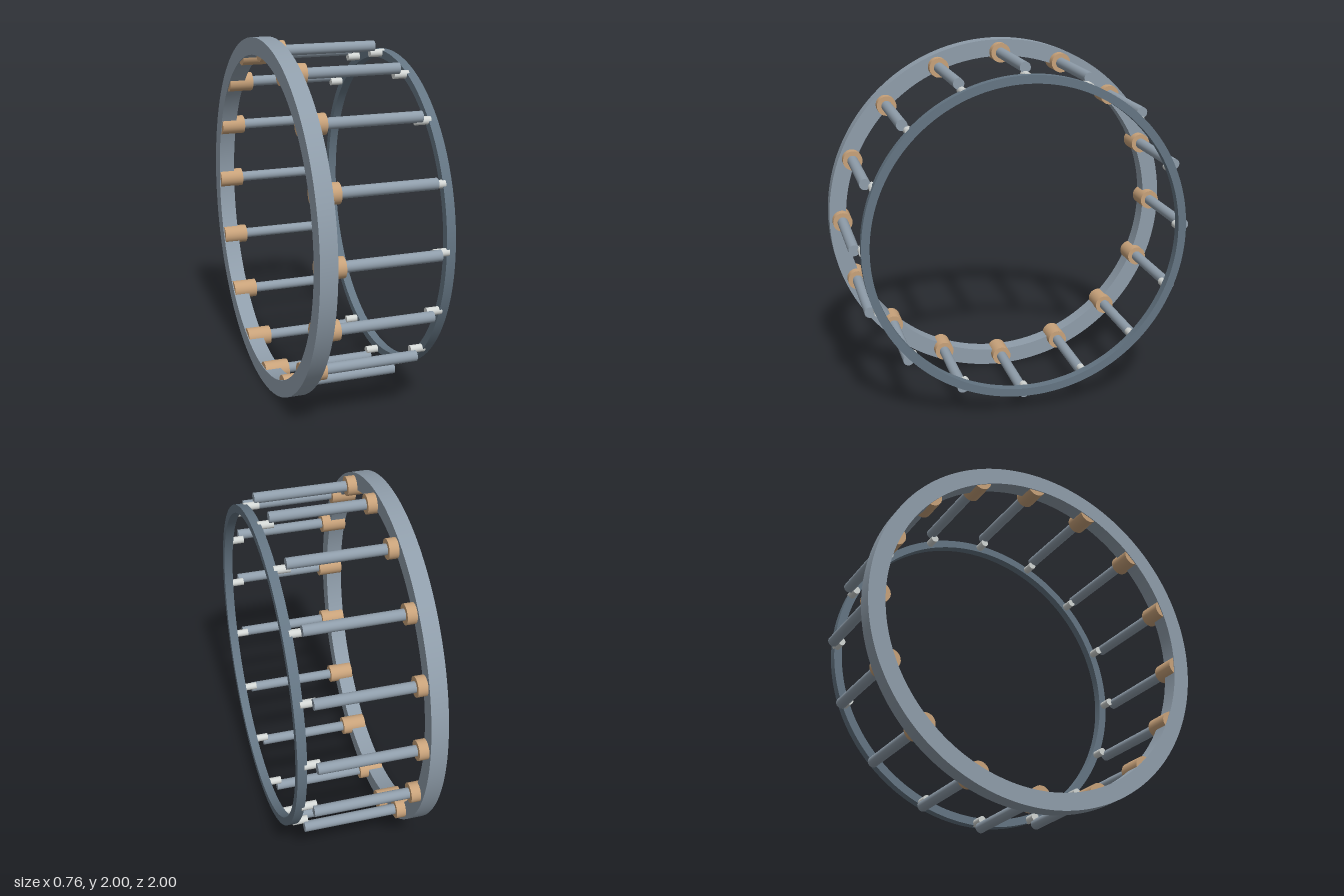
import * as THREE from 'three';
import { toCreasedNormals } from 'three/addons/utils/BufferGeometryUtils.js';

const mat = (name, color) => {
  const m = new THREE.MeshStandardMaterial({ color });
  m.name = name;
  return m;
};

// Flat ring around the x axis, from x0 to x1
function ringGeometry(outer, inner, x0, x1) {
  const shape = new THREE.Shape().absarc(0, 0, outer, 0, Math.PI * 2);
  shape.holes.push(new THREE.Path().absarc(0, 0, inner, 0, Math.PI * 2, true));
  const geo = new THREE.ExtrudeGeometry(shape, { depth: x1 - x0, bevelEnabled: false, curveSegments: 128 });
  geo.rotateY(Math.PI / 2).translate(x0, 0, 0);
  return toCreasedNormals(geo, 0.6);
}

// Round bar along x, from x0 to x1, at a distance from the axis
function barGeometry(radius, x0, x1, distance) {
  return new THREE.CylinderGeometry(radius, radius, x1 - x0, 28)
    .rotateZ(-Math.PI / 2)
    .translate((x0 + x1) / 2, distance, 0);
}

export function createModel() {
  const model = new THREE.Group();
  model.name = 'ringCage';
  const steel = mat('steel', 0x8f9daa);
  const darkSteel = mat('darkSteel', 0x647583);
  const bronze = mat('bronze', 0xc8a27a);
  const pale = mat('paleMetal', 0xd2d6d4);

  const add = (parent, name, geometry, material) => {
    const mesh = new THREE.Mesh(geometry, material);
    mesh.name = name;
    parent.add(mesh);
  };

  const body = new THREE.Group();
  body.name = 'body';
  body.position.y = 1;
  model.add(body);

  // Two coaxial rings
  add(body, 'largeRing', ringGeometry(1, 0.905, -0.383, -0.29), steel);
  add(body, 'smallRing', ringGeometry(0.905, 0.86, 0.33, 0.38), darkSteel);

  // Sixteen rods, each with a collar and an offset end pin
  const collar = barGeometry(0.055, -0.378, -0.238, 0.93);
  const rod = barGeometry(0.03, -0.3, 0.285, 0.93);
  const pin = barGeometry(0.022, 0.26, 0.345, 0.89);
  const count = 16;
  for (let i = 0; i < count; i++) {
    const unit = new THREE.Group();
    unit.name = 'rodUnit' + (i + 1);
    unit.rotation.x = (i / count) * Math.PI * 2;
    add(unit, 'collar', collar, bronze);
    add(unit, 'rod', rod, steel);
    add(unit, 'endPin', pin, pale);
    body.add(unit);
  }
  return model;
}
